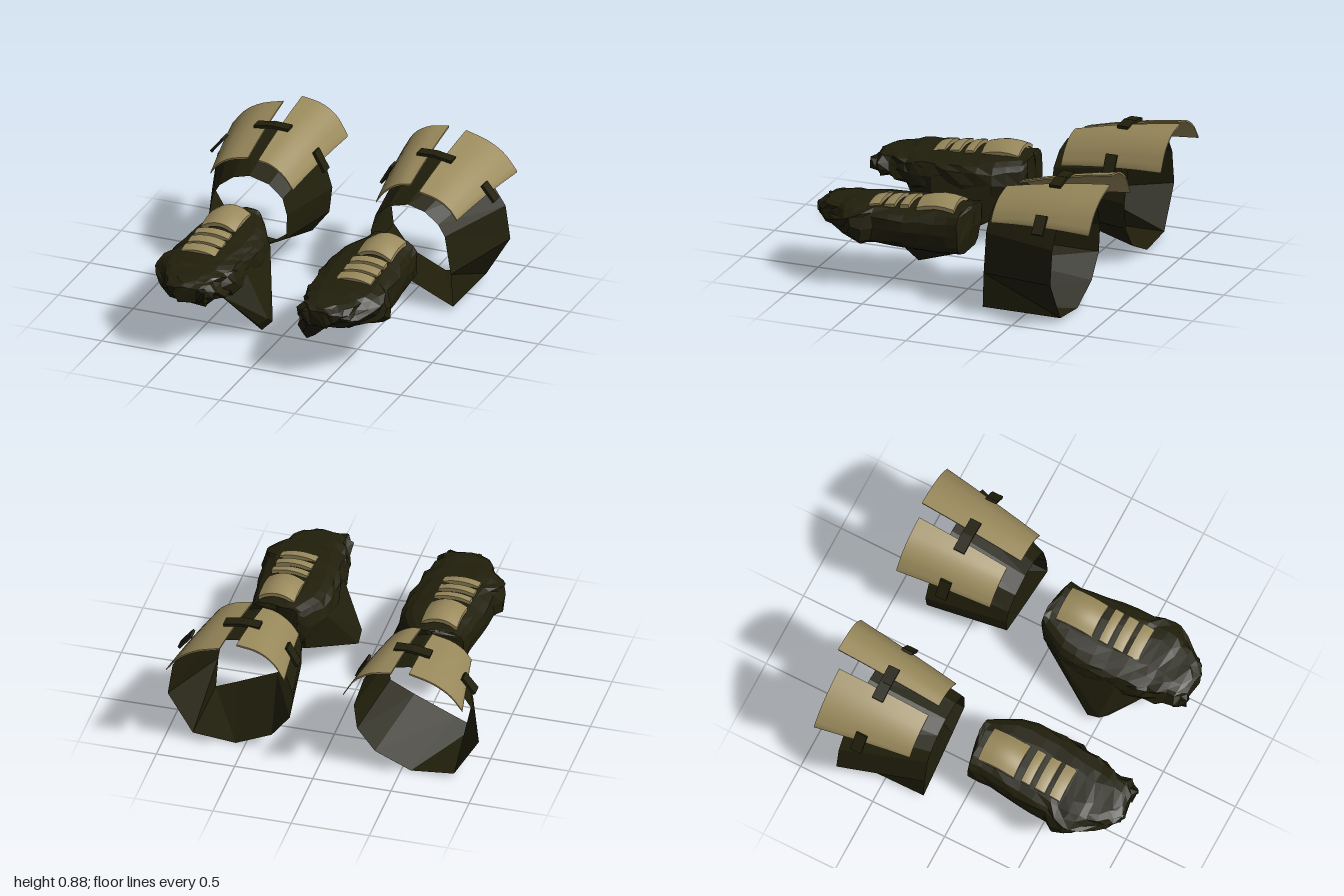
import * as THREE from 'three';
import { toCreasedNormals } from 'three/addons/utils/BufferGeometryUtils.js';
import { ConvexGeometry } from 'three/addons/geometries/ConvexGeometry.js';

// Skin rows of points into a surface; rings are closed and optionally capped.
function loft(rows, caps) {
  const out = [];
  const tri = (a, b, c) => out.push(...a, ...b, ...c);
  const n = rows[0].length;
  for (let r = 0; r < rows.length - 1; r++) {
    for (let i = 0; i < n; i++) {
      const j = (i + 1) % n;
      tri(rows[r][i], rows[r][j], rows[r + 1][j]);
      tri(rows[r][i], rows[r + 1][j], rows[r + 1][i]);
    }
  }
  if (caps) {
    // zip each end across, so thin curved sections close cleanly
    [[rows[0], true], [rows[rows.length - 1], false]].forEach(([row, flip]) => {
      const face = (a, b, c) => (flip ? tri(a, c, b) : tri(a, b, c));
      for (let i = 0; i < n / 2 - 1; i++) {
        face(row[i], row[i + 1], row[n - 2 - i]);
        face(row[i], row[n - 2 - i], row[n - 1 - i]);
      }
    });
  }
  const g = new THREE.BufferGeometry();
  g.setAttribute('position', new THREE.Float32BufferAttribute(out, 3));
  g.computeVertexNormals();
  return g;
}

// Mirror a geometry across x = 0 and restore its winding.
function mirror(g) {
  const m = g.index ? g.toNonIndexed() : g;
  const p = m.attributes.position;
  const v = [0, 1, 2].map(() => new THREE.Vector3());
  for (let t = 0; t < p.count; t += 3) {
    v.forEach((w, k) => w.fromBufferAttribute(p, t + k));
    [v[0], v[2], v[1]].forEach((w, k) => p.setXYZ(t + k, -w.x, w.y, w.z));
  }
  m.computeVertexNormals();
  return m;
}

// Thin plate between a front and a back curve, bowed upward along its length.
function curvedPlate(front, back, zFront, zBack, thickness, bow) {
  const section = (pts, z) => {
    const curve = new THREE.CatmullRomCurve3(pts.map(([x, y]) => new THREE.Vector3(x, y, z)));
    const top = curve.getPoints(10).map((p) => [p.x, p.y, z]);
    const under = top.map(([x, y]) => [x, y - thickness, z]).reverse();
    return [...top, ...under];
  };
  const a = section(front, zFront), b = section(back, zBack);
  const rows = [0, 0.25, 0.5, 0.75, 1].map((t) =>
    a.map((p, i) => p.map((c, k) => c + (b[i][k] - c) * t + (k === 1 ? bow * Math.sin(Math.PI * t) : 0))));
  return loft(rows, true);
}

function gloveGeometry() {
  let seed = 7;
  const rand = () => { seed = (seed * 16807) % 2147483647; return seed / 2147483647 - 0.5; };
  // z, xMin, xMax, yMin, yMax
  const keys = [
    [-0.035, -0.52, -0.36, 0.41, 0.56], [0, -0.69, -0.32, 0.25, 0.56],
    [0.15, -0.7, -0.23, 0.25, 0.55], [0.35, -0.73, -0.21, 0.26, 0.538],
    [0.55, -0.75, -0.22, 0.27, 0.525], [0.69, -0.78, -0.24, 0.285, 0.515],
    [0.8, -0.71, -0.26, 0.315, 0.505], [0.92, -0.61, -0.28, 0.345, 0.495],
    [0.985, -0.55, -0.33, 0.38, 0.46]];
  const rows = [];
  for (let r = 0; r < keys.length * 2 - 1; r++) {
    const a = keys[Math.floor(r / 2)], b = keys[Math.ceil(r / 2)];
    const [z, x0, x1, y0, y1] = a.map((v, k) => (v + b[k]) / 2);
    const rough = z > 0.5 ? 0.045 : 0.015;
    const row = [];
    for (let i = 0; i < 18; i++) {
      const t = (i / 18) * Math.PI * 2;
      const box = (v) => Math.sign(v) * Math.pow(Math.abs(v), 0.65);
      const calm = Math.sin(t) > 0.6 ? 0.25 : 1; // smoother on the back of the hand
      row.push([(x0 + x1) / 2 + box(Math.cos(t)) * (x1 - x0) / 2 + rand() * rough,
        (y0 + y1) / 2 + box(Math.sin(t)) * (y1 - y0) / 2 + rand() * rough * calm,
        z + rand() * rough * 0.6]);
    }
    rows.push(row);
  }
  return loft(rows, true);
}

// Thumb and the broad web joining it to the palm.
function thumbGeometry() {
  return new ConvexGeometry([
    [-0.15, 0.005, 0.475], [-0.2, 0.03, 0.46], [-0.1, 0.05, 0.42], [-0.1, 0.1, 0.5], [-0.15, 0.07, 0.54],
    [-0.5, 0.24, 0.03], [-0.33, 0.24, 0.02], [-0.23, 0.42, 0.15], [-0.33, 0.42, 0.0],
    [-0.42, 0.3, 0.6], [-0.31, 0.33, 0.75], [-0.23, 0.43, 0.55],
  ].map((p) => new THREE.Vector3(...p)));
}

// Forearm cuff: open tube, round at the elbow with a pointed lower outer edge.
function cuffGeometry() {
  const back = [[-0.56, 0.006], [-0.835, 0.033], [-0.995, 0.3], [-0.963, 0.52], [-0.87, 0.66], [-0.72, 0.75],
    [-0.55, 0.78], [-0.38, 0.74], [-0.26, 0.64], [-0.195, 0.43], [-0.215, 0.26], [-0.33, 0.11]];
  const front = [[-0.7, 0.09], [-0.83, 0.033], [-0.815, 0.25], [-0.775, 0.5], [-0.73, 0.575], [-0.64, 0.645],
    [-0.53, 0.675], [-0.4, 0.64], [-0.31, 0.56], [-0.28, 0.45], [-0.285, 0.29], [-0.44, 0.21]];
  return loft([back.map(([x, y]) => [x, y, -0.755]), front.map(([x, y]) => [x, y, -0.235])], false);
}

// Strap piece: a thin slab running between two points in the front plane.
function strapGeometry([x0, y0], [x1, y1]) {
  const g = new THREE.BoxGeometry(Math.hypot(x1 - x0, y1 - y0), 0.018, 0.075);
  g.rotateZ(Math.atan2(y1 - y0, x1 - x0));
  g.translate((x0 + x1) / 2, (y0 + y1) / 2, -0.645);
  return g;
}

export function createModel() {
  const model = new THREE.Group();
  const leather = new THREE.MeshStandardMaterial({ color: 0x211f0b, flatShading: true, side: THREE.DoubleSide });
  leather.name = 'dark leather';
  const armour = new THREE.MeshStandardMaterial({ color: 0x9a8a5c, side: THREE.DoubleSide });
  armour.name = 'tan armour';

  // outer and inner: front and back z of the two forearm plates
  const sides = [
    { name: 'right', flip: false, outer: [-0.33, -0.94], inner: [-0.3, -1.0] },
    { name: 'left', flip: true, outer: [-0.29, -0.99], inner: [-0.345, -0.957] }];
  for (const s of sides) {
    const arm = new THREE.Group();
    arm.name = s.name + 'Gauntlet';
    const add = (name, geometry, material) => {
      let g = s.flip ? mirror(geometry) : geometry;
      if (material === armour) g = toCreasedNormals(g, 0.7);
      const mesh = new THREE.Mesh(g, material);
      mesh.name = name;
      arm.add(mesh);
    };

    add('glove', gloveGeometry(), leather);
    add('thumb', thumbGeometry(), leather);
    add('forearmCuff', cuffGeometry(), leather);

    // Forearm plates
    add('outerForearmPlate', curvedPlate(
      [[-0.83, 0.605], [-0.78, 0.67], [-0.7, 0.72], [-0.58, 0.75]],
      [[-0.94, 0.65], [-0.86, 0.75], [-0.75, 0.82], [-0.6, 0.865]], ...s.outer, 0.012, 0.012), armour);
    add('innerForearmPlate', curvedPlate(
      [[-0.5, 0.76], [-0.42, 0.745], [-0.33, 0.685], [-0.27, 0.605]],
      [[-0.5, 0.89], [-0.37, 0.865], [-0.27, 0.8], [-0.195, 0.68]], ...s.inner, 0.012, 0.012), armour);

    // Straps holding the plates
    add('topStrapOuter', strapGeometry([-0.66, 0.822], [-0.54, 0.842]), leather);
    add('topStrapInner', strapGeometry([-0.55, 0.842], [-0.43, 0.838]), leather);
    add('outerStrap', strapGeometry([-0.945, 0.6], [-0.865, 0.7]), leather);
    add('innerStrap', strapGeometry([-0.26, 0.72], [-0.19, 0.595]), leather);

    // Back-of-hand plate and knuckle plates: z start, z end, crown heights, side drop, bow
    const bands = [
      ['handPlate', 0.04, 0.29, 0.602, 0.586, 0.042, 0.02],
      ['knucklePlate', 0.34, 0.4, 0.574, 0.564, 0.02, 0.003],
      ['knucklePlate', 0.435, 0.505, 0.565, 0.552, 0.02, 0.003],
      ['knucklePlate', 0.535, 0.61, 0.554, 0.538, 0.02, 0.003]];
    for (const [name, z0, z1, y0, y1, drop, bow] of bands) {
      const arch = (y) => [[-0.635, y - drop], [-0.58, y - drop * 0.27], [-0.52, y],
        [-0.46, y - drop * 0.27], [-0.405, y - drop]];
      add(name, curvedPlate(arch(y1), arch(y0), z1, z0, 0.025, bow), armour);
    }
    model.add(arm);
  }
  return model;
}
